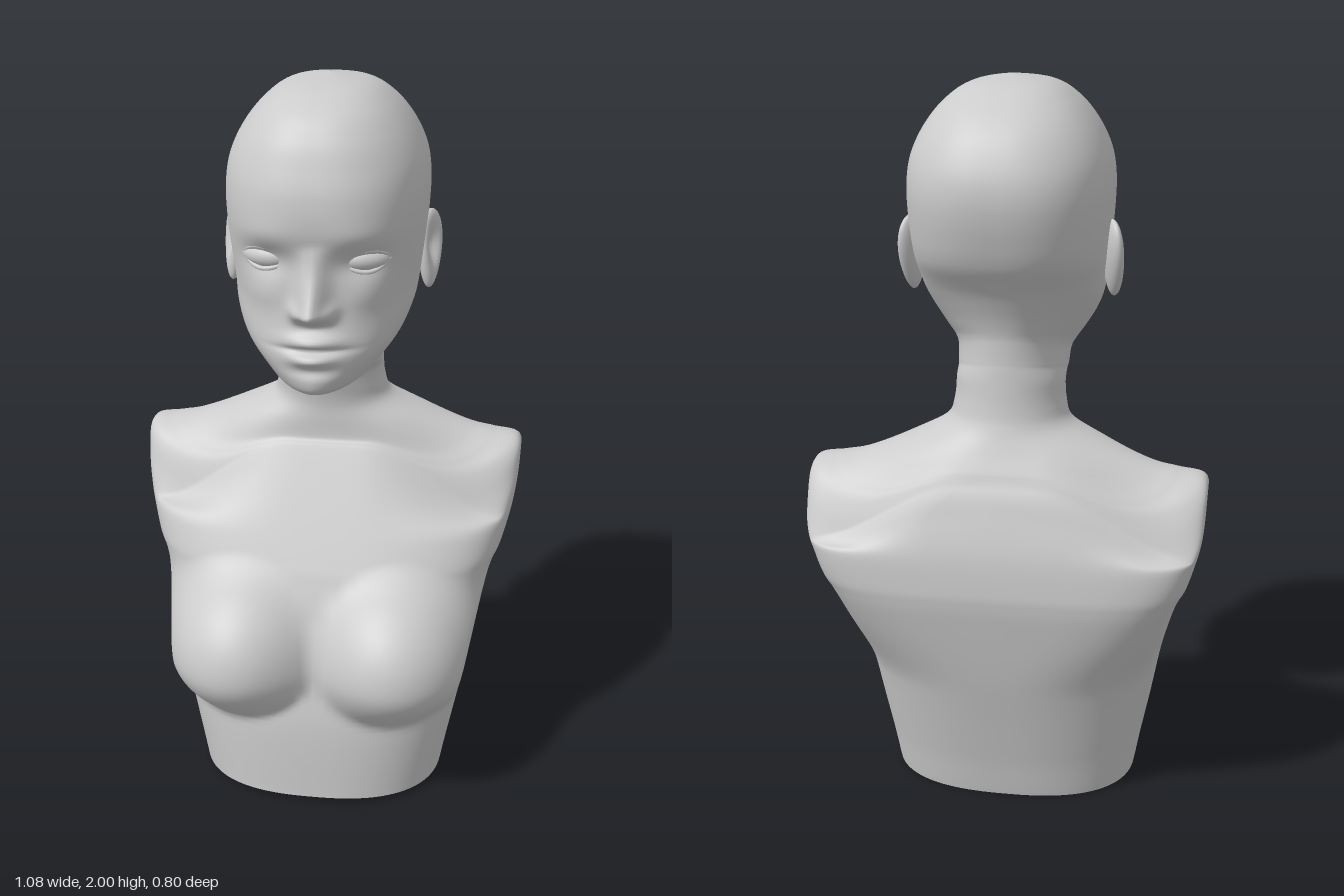
import * as THREE from 'three';

const SEG = 160, SUB = 12;

// Cross-sections: [height at front, half width, z of front, z of back]
const torsoRings = [
  [0.02, 0.35, 0.32, -0.24],
  [0.25, 0.395, 0.31, -0.3],
  [0.42, 0.425, 0.27, -0.345],
  [0.58, 0.458, 0.225, -0.38],
  [0.65, 0.478, 0.2, -0.393],
  [0.7, 0.5, 0.175, -0.395],
  [0.8, 0.525, 0.12, -0.385],
  [0.92, 0.538, 0.052, -0.352],
  [0.975, 0.53, 0.02, -0.328],
  [0.99, 0.46, 0.01, -0.322],
  [1.005, 0.39, 0.002, -0.316],
  [1.05, 0.275, 0, -0.295],
  [1.1, 0.175, 0, -0.275],
  [1.15, 0.15, 0.01, -0.26],
];
const headRings = [
  [1.2, 0.146, 0.03, -0.252],
  [1.212, 0.148, 0.07, -0.25],
  [1.222, 0.151, 0.21, -0.25],
  [1.235, 0.162, 0.265, -0.252],
  [1.27, 0.187, 0.283, -0.262],
  [1.33, 0.217, 0.28, -0.28],
  [1.4, 0.238, 0.268, -0.3],
  [1.47, 0.246, 0.257, -0.325],
  [1.55, 0.254, 0.258, -0.358],
  [1.66, 0.263, 0.282, -0.392],
  [1.74, 0.264, 0.281, -0.4],
  [1.81, 0.252, 0.262, -0.384],
  [1.88, 0.218, 0.232, -0.345],
  [1.94, 0.168, 0.18, -0.28],
  [1.98, 0.105, 0.09, -0.2],
  [2.0, 0.001, -0.069, -0.071],
];

const { clamp, smoothstep, lerp } = THREE.MathUtils;
const gauss = (d, s) => Math.exp(-(d * d) / (s * s));

function cubic(a, b, c, d, t) {
  return b + 0.5 * t * (c - a + t * (2 * a - 5 * b + 4 * c - d + t * (3 * (b - c) + d - a)));
}

function smoothMax(a, b, k) {
  const h = Math.max(k - Math.abs(a - b), 0) / k;
  return Math.max(a, b) + h * h * k * 0.25;
}

// Depth of the widest point: moves back at the shoulders, forward at the jaw
function widestZ(y) {
  return lerp(0.02, -0.16, smoothstep(y, 0.3, 0.85)) + 0.06 * smoothstep(y, 1, 1.2)
    + 0.1 * smoothstep(y, 1.18, 1.24) - 0.07 * smoothstep(y, 1.3, 1.55);
}

// Rings rise towards the back along the jaw line, and dip at the base
function ringTilt(y) {
  return 0.23 * smoothstep(y, 1.12, 1.22) * (1 - smoothstep(y, 1.22, 1.6))
    - 0.03 * (1 - smoothstep(y, 0.02, 0.12));
}

// Rounds the shoulder tops down towards front and back
function shoulderDrop(x, y, dz) {
  const band = smoothstep(y, 0.75, 0.95) * (1 - smoothstep(y, 1, 1.1));
  return 0.12 * band * smoothstep(Math.abs(x), 0.1, 0.45) * Math.min((dz / 0.17) ** 2, 1);
}

// Chest: rounded form on each side, fuller below than above
function breastZ(x, y) {
  const d = Math.hypot((Math.abs(x) - 0.212) / 0.222, (y - 0.42) / (y > 0.42 ? 0.235 : 0.175));
  return d < 0.9 ? 0.4 - 0.28 * (1 - Math.sqrt(1 - d * d)) : 0.242 - 0.578 * (d - 0.9);
}

// Face relief: nose, nostril wings, lips, brow, eye sockets and cheeks
function faceRelief(x, y) {
  if (y < 1.21 || y > 1.78) return 0;
  const ax = Math.abs(x);
  const down = clamp((1.63 - y) / 0.165, 0, 1);
  const noseHeight = 0.1 * Math.pow(down, 1.1) * smoothstep(y, 1.412, 1.468);
  let d = noseHeight * gauss(x, lerp(0.03, 0.037, down));
  d += 0.022 * gauss(ax - 0.043, 0.018) * gauss(y - 1.455, 0.022);
  d += 0.022 * gauss(x, 0.065) * gauss(y - 1.38, 0.018);
  d += 0.025 * gauss(x, 0.056) * gauss(y - 1.335, 0.018);
  d -= 0.014 * gauss(x, 0.08) * gauss(y - 1.357, 0.007);
  d -= 0.008 * gauss(x, 0.06) * gauss(y - 1.3, 0.016);
  d += 0.005 * gauss(ax - 0.12, 0.08) * gauss(y - 1.65, 0.04);
  d -= 0.024 * gauss(ax - 0.12, 0.065) * gauss(y - 1.583, 0.04);
  d += 0.01 * gauss(ax - 0.14, 0.06) * gauss(y - 1.49, 0.05);
  return d;
}

// Superellipse section, squarer at the shoulders and narrower at the chin
function ringPoint([y, w, zF, zB], theta) {
  const c = Math.cos(theta), s = Math.sin(theta);
  const square = smoothstep(y, 0.35, 0.8) * (1 - smoothstep(y, 0.88, 1.02));
  const round = 2.5 - 0.4 * smoothstep(y, 1, 1.1) + 0.4 * smoothstep(y, 1.4, 1.6);
  const n = round + (s >= 0 ? 0.8 * square - 0.35 * gauss(y - 1.24, 0.06) : 3.5 * square);
  const zc = widestZ(y);
  const x = w * Math.sign(c) * Math.pow(Math.abs(c), 2 / n);
  let z = zc + ((s >= 0 ? zF : zB) - zc) * Math.pow(Math.abs(s), 2 / n);
  const py = y + ringTilt(y) * (zF - z) - shoulderDrop(x, y, z - zc);
  if (s > 0) {
    const weight = smoothstep(s, 0, 0.35);
    if (py < 0.9) z += weight * (smoothMax(z, breastZ(x, py), 0.12) - z);
    z += weight * faceRelief(x, py);
  }
  return [x, py, z];
}

// Continuous skin lofted through all the cross-sections
function skinGeometry() {
  const keys = torsoRings.concat(headRings);
  const pos = [], index = [];
  const last = keys.length - 1, rows = last * SUB;
  const key = (n) => keys[clamp(n, 0, last)];
  for (let r = 0; r <= rows; r++) {
    const i = Math.min(Math.floor(r / SUB), last - 1), t = r / SUB - i;
    const ring = keys[i].map((v, m) => cubic(key(i - 1)[m], v, key(i + 1)[m], key(i + 2)[m], t));
    for (let j = 0; j < SEG; j++) pos.push(...ringPoint(ring, (j / SEG) * Math.PI * 2));
  }
  for (let r = 0; r < rows; r++) {
    for (let j = 0; j < SEG; j++) {
      const a = r * SEG + j, b = r * SEG + ((j + 1) % SEG);
      index.push(a, a + SEG, b, b, a + SEG, b + SEG);
    }
  }
  const g = new THREE.BufferGeometry();
  g.setAttribute('position', new THREE.Float32BufferAttribute(pos, 3));
  g.setIndex(index);
  g.computeVertexNormals();
  return g;
}

// Closed underside, following the slope of the lowest ring
function baseGeometry() {
  const outline = [];
  for (let j = 0; j < SEG; j++) {
    const [x, , z] = ringPoint(torsoRings[0], (j / SEG) * Math.PI * 2);
    outline.push(new THREE.Vector2(x, z));
  }
  const g = new THREE.ShapeGeometry(new THREE.Shape(outline)).rotateX(Math.PI / 2);
  const p = g.attributes.position;
  for (let i = 0; i < p.count; i++) p.setY(i, 0.02 - 0.03 * (0.32 - p.getZ(i)));
  g.computeVertexNormals();
  return g;
}

// Flattened shell with a hollow outer face and a narrow lobe
function earGeometry() {
  const g = new THREE.SphereGeometry(1, 40, 32);
  const p = g.attributes.position;
  for (let i = 0; i < p.count; i++) {
    let x = p.getX(i);
    const y = p.getY(i), z = p.getZ(i);
    if (x > 0) x -= 1.1 * x * gauss(Math.hypot(y - 0.1, z - 0.1), 0.55);
    p.setXYZ(i, x * 0.026, y * 0.106, z * 0.062 * (0.8 + 0.25 * y));
  }
  g.computeVertexNormals();
  return g;
}

// Eyelid rim: an arc bulging up or down by h
function lidGeometry(h) {
  const points = [];
  for (let i = 0; i <= 6; i++) {
    const u = i / 3 - 1, arch = 1 - u * u;
    points.push(new THREE.Vector3(0.066 * u, h * arch + 0.004 * u, 0.006 + 0.027 * arch));
  }
  return new THREE.TubeGeometry(new THREE.CatmullRomCurve3(points), 24, 0.006, 8);
}

export function createModel() {
  const group = new THREE.Group();
  const mat = new THREE.MeshStandardMaterial({ color: 0xcccccc });
  const add = (parent, name, geometry) => {
    const mesh = new THREE.Mesh(geometry, mat);
    mesh.name = name;
    parent.add(mesh);
    return mesh;
  };

  add(group, 'torsoNeckAndHead', skinGeometry());
  add(group, 'underside', baseGeometry());

  const earGeo = earGeometry();
  const eyeGeo = new THREE.SphereGeometry(1, 32, 20).scale(0.066, 0.033, 0.04);
  const upperLid = lidGeometry(0.029), lowerLid = lidGeometry(-0.027);

  // Paired features, mirrored
  for (const side of [1, -1]) {
    const label = side > 0 ? 'left' : 'right';
    const half = new THREE.Group();
    half.name = label + 'Features';
    half.scale.x = side;
    group.add(half);

    const ear = add(half, label + 'Ear', earGeo);
    ear.position.set(0.268, 1.535, -0.09);
    ear.rotation.set(-0.22, -0.42, 0);

    const eye = new THREE.Group();
    eye.name = label + 'Eye';
    eye.position.set(0.124, 1.583, 0.194);
    eye.rotation.y = 0.35;
    half.add(eye);
    add(eye, label + 'Eyeball', eyeGeo);
    add(eye, label + 'UpperLid', upperLid);
    add(eye, label + 'LowerLid', lowerLid);
  }
  return group;
}
